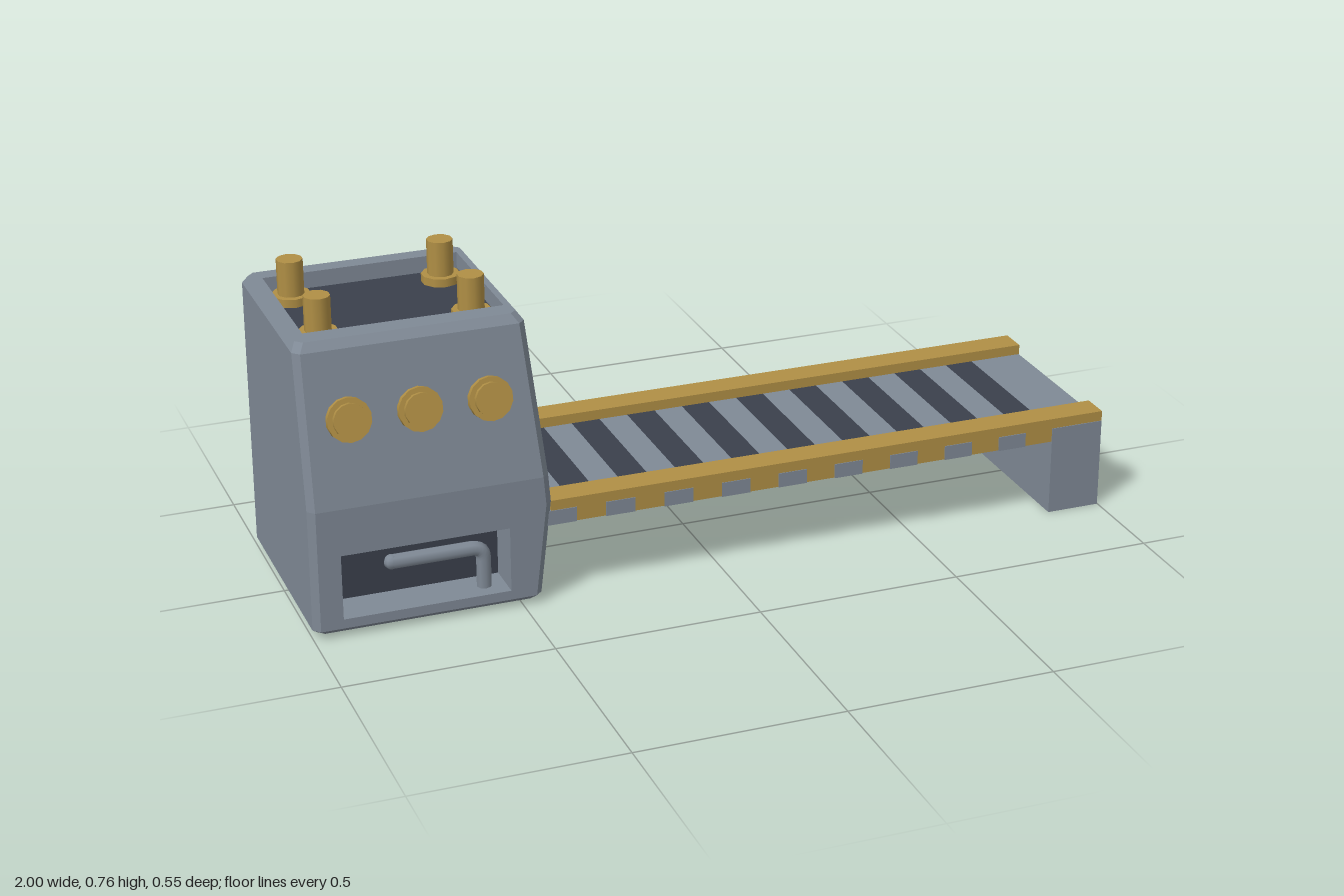
import * as THREE from 'three';

const steel = new THREE.MeshStandardMaterial({ name: 'steelGrey', color: 0x7f8995, side: THREE.DoubleSide });
const dark = new THREE.MeshStandardMaterial({ name: 'darkSlate', color: 0x3a404c, side: THREE.DoubleSide });
const gold = new THREE.MeshStandardMaterial({ name: 'brassYellow', color: 0xb08f45 });

// Flat-shaded geometry from a list of triangles, each made of three [x, y, z] points
function fromTriangles(tris) {
  const g = new THREE.BufferGeometry();
  g.setAttribute('position', new THREE.Float32BufferAttribute(tris.flat(2), 3));
  g.computeVertexNormals();
  return g;
}
const quad = (a, b, c, d) => [[a, b, c], [a, c, d]];

// Triangulates a 3D outline with optional holes, using a 2D projection
function fill(outline, project, holes = []) {
  const to2 = (p) => new THREE.Vector2(...project(p));
  const all = [outline, ...holes].flat();
  return THREE.ShapeUtils.triangulateShape(outline.map(to2), holes.map((h) => h.map(to2)))
    .map((f) => f.map((i) => all[i]));
}
const fromFront = (p) => [p[0], p[1]];
const fromRight = (p) => [-p[2], p[1]];
const fromTop = (p) => [p[0], -p[2]];
const fromBelow = (p) => [p[0], p[2]];

function add(parent, name, geometry, material, x = 0, y = 0, z = 0) {
  const m = new THREE.Mesh(geometry, material);
  m.name = name;
  m.position.set(x, y, z);
  parent.add(m);
  return m;
}

function box(parent, name, material, x0, x1, y0, y1, z0, z1) {
  return add(parent, name, new THREE.BoxGeometry(x1 - x0, y1 - y0, z1 - z0), material,
    (x0 + x1) / 2, (y0 + y1) / 2, (z0 + z1) / 2);
}

// Recess walls and its dark end panel
function recess(parent, name, ring, inner, project) {
  const walls = ring.flatMap((p, i) => {
    const j = (i + 1) % ring.length;
    return quad(p, ring[j], inner[j], inner[i]);
  });
  add(parent, name + 'Walls', fromTriangles(walls), steel);
  add(parent, name + 'Panel', fromTriangles(fill(inner, project)), dark);
}

// Horizontal cross-section of the housing: a rectangle with cut corners
function section(y, left, right, front, back) {
  const c = 0.016;
  return [
    [left + c, front], [right - c, front], [right, front - c], [right, back + c],
    [right - c, back], [left + c, back], [left, back + c], [left, front - c],
  ].map(([x, z]) => [x, y, z]);
}

function makeHousing() {
  const g = new THREE.Group();
  g.name = 'housing';
  const sideX = (y) => -0.425 - 0.035 * (y - 0.25) / 0.43;
  const L = [
    section(0.01, -0.988, -0.465, 0.262, -0.262),
    section(0.022, -1, -0.452, 0.275, -0.275),
    section(0.25, -1, sideX(0.25), 0.275, -0.275),
    section(0.32, -1, sideX(0.32), 0.275, -0.275),
    section(0.68, -1, sideX(0.68), 0.21, -0.275),
    section(0.7, -0.988, -0.474, 0.193, -0.262),
  ];

  // Openings
  const slot = [[-0.93, 0.045], [-0.53, 0.045], [-0.53, 0.205], [-0.93, 0.205]].map(([x, y]) => [x, y, 0.275]);
  const door = [[0.225, 0.25], [-0.23, 0.25], [-0.23, 0.625], [0.175, 0.625]].map(([z, y]) => [sideX(y), y, z]);
  const well = [[-0.96, 0.14], [-0.49, 0.14], [-0.49, -0.22], [-0.96, -0.22]].map(([x, z]) => [x, 0.7, z]);

  // Shell strips, leaving out the faces with openings
  const tris = [];
  for (let b = 0; b < 5; b++) {
    for (let i = 0; i < 8; i++) {
      if ((i === 0 && (b === 1 || b === 2)) || (i === 2 && (b === 2 || b === 3))) continue;
      const j = (i + 1) % 8;
      tris.push(...quad(L[b][i], L[b][j], L[b + 1][j], L[b + 1][i]));
    }
  }
  tris.push(
    ...fill([L[1][0], L[1][1], L[2][1], L[3][1], L[3][0], L[2][0]], fromFront, [slot]),
    ...fill([L[2][2], door[0], door[3], door[2], door[1], L[2][3], L[3][3], L[4][3], L[4][2], L[3][2]], fromRight),
    ...fill(L[5], fromTop, [well]),
    ...fill([...L[0]].reverse(), fromBelow),
  );
  add(g, 'housingShell', fromTriangles(tris), steel);

  recess(g, 'frontSlot', slot, slot.map(([x, y]) => [x, y, 0.175]), fromFront);
  recess(g, 'sideDoor', door, door.map(([, y, z]) => [-0.53, y, z]), fromRight);
  recess(g, 'topWell', well, well.map(([x, , z]) => [x, 0.66, z]), fromTop);

  // Bent handle in the front slot
  const path = new THREE.CurvePath();
  const v = (x, y) => new THREE.Vector3(x, y, 0.225);
  path.add(new THREE.LineCurve3(v(-0.8, 0.145), v(-0.61, 0.145)));
  path.add(new THREE.QuadraticBezierCurve3(v(-0.61, 0.145), v(-0.58, 0.145), v(-0.58, 0.115)));
  path.add(new THREE.LineCurve3(v(-0.58, 0.115), v(-0.58, 0.045)));
  add(g, 'handle', new THREE.TubeGeometry(path, 40, 0.018, 8), steel);
  add(g, 'handleEnd', new THREE.SphereGeometry(0.018, 8, 6), steel, -0.8, 0.145, 0.225);

  // Round buttons on the sloped front
  for (const x of [-0.89, -0.725, -0.56]) {
    const button = new THREE.Group();
    button.name = 'button';
    button.position.set(x, 0.522, 0.239);
    button.rotation.x = Math.PI / 2 - 0.22;
    add(button, 'buttonBase', new THREE.CylinderGeometry(0.052, 0.052, 0.024, 14), gold, 0, 0.004, 0);
    add(button, 'buttonCap', new THREE.CylinderGeometry(0.04, 0.04, 0.02, 14), gold, 0, 0.018, 0);
    g.add(button);
  }

  // Posts standing in the top well
  for (const x of [-0.91, -0.55]) {
    for (const z of [0.085, -0.155]) {
      add(g, 'post', new THREE.CylinderGeometry(0.031, 0.031, 0.105, 10), gold, x, 0.7125, z);
      add(g, 'postFlange', new THREE.CylinderGeometry(0.046, 0.046, 0.02, 10), gold, x, 0.67, z);
    }
  }
  return g;
}

function makeConveyor() {
  const g = new THREE.Group();
  g.name = 'conveyor';
  const start = -0.435, width = 0.0722;

  // Alternating slats; the light ones reach through the rails
  for (let i = 0; i < 18; i++) {
    const x = start + i * width;
    if (i % 2) box(g, 'darkSlat', dark, x, x + width, 0.19, 0.225, -0.19, 0.19);
    else box(g, 'lightSlat', steel, x, x + width, 0.189, 0.225, -0.262, 0.262);
  }
  // Solid end leg
  box(g, 'endLeg', steel, start + 18 * width, 0.999, 0, 0.225, -0.262, 0.262);

  // Side rails
  for (const s of [-1, 1]) {
    box(g, 'rail', gold, -0.425, 1, 0.19, 0.25, s * 0.225 - 0.035, s * 0.225 + 0.035);
  }
  return g;
}

export function createModel() {
  const model = new THREE.Group();
  model.name = 'conveyorMachine';
  model.add(makeHousing(), makeConveyor());
  return model;
}
